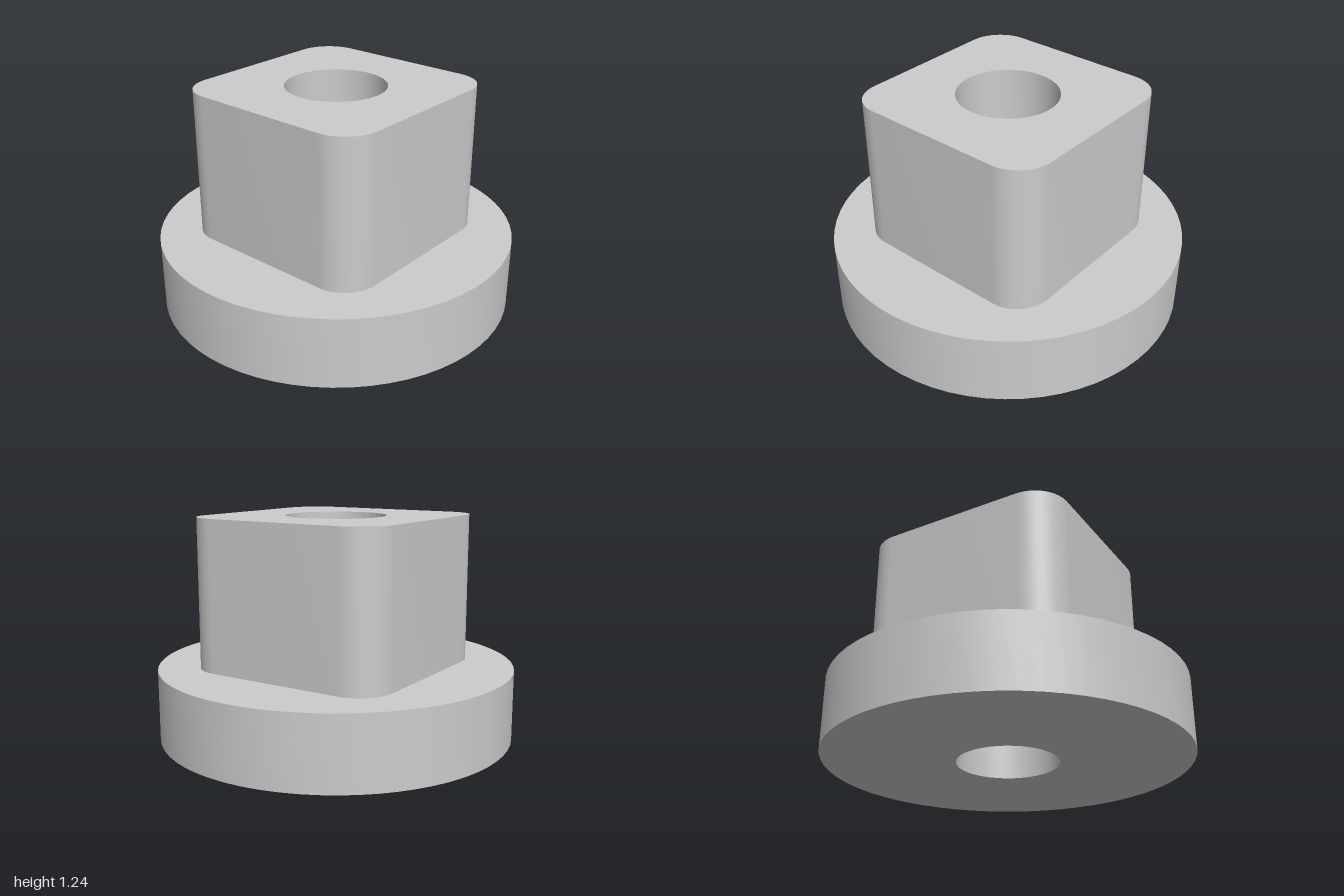
import * as THREE from 'three';
import { mergeGeometries, toCreasedNormals } from 'three/addons/utils/BufferGeometryUtils.js';

const FLANGE_R = 1, FLANGE_H = 0.4;
const BLOCK_HALF = 0.6, CORNER_R = 0.2, TOP = 1.235;
const BORE_R = 0.28;

// Square outline with round corners; a full circle when half equals radius
function outline(half, radius) {
  const steps = 16, c = half - radius, points = [];
  for (let q = 0; q < 4; q++) {
    const mid = (q + 0.5) * Math.PI / 2;
    const cx = c * Math.sign(Math.cos(mid)), cy = c * Math.sign(Math.sin(mid));
    const count = c > 0 ? steps + 1 : steps;
    for (let i = 0; i < count; i++) {
      const a = (q + i / steps) * Math.PI / 2;
      points.push(new THREE.Vector2(cx + radius * Math.cos(a), cy + radius * Math.sin(a)));
    }
  }
  return points;
}

function ring(outer, inner) {
  const shape = new THREE.Shape(outer);
  shape.holes.push(new THREE.Path(inner));
  return shape;
}

// Flat face at height y, facing up or down
function cap(shape, y, up) {
  return new THREE.ShapeGeometry(shape).toNonIndexed()
    .rotateX(up ? -Math.PI / 2 : Math.PI / 2).translate(0, y, 0);
}

// Outer and bore walls only, smooth around the curves
function walls(shape, y0, y1) {
  const solid = new THREE.ExtrudeGeometry(shape, { depth: y1 - y0, bevelEnabled: false });
  const { start, count } = solid.groups[1];
  const geometry = new THREE.BufferGeometry();
  for (const name of ['position', 'normal', 'uv']) {
    const { array, itemSize } = solid.attributes[name];
    const part = array.slice(start * itemSize, (start + count) * itemSize);
    geometry.setAttribute(name, new THREE.BufferAttribute(part, itemSize));
  }
  return toCreasedNormals(geometry.rotateX(-Math.PI / 2).translate(0, y0, 0), 0.5);
}

export function createModel() {
  const group = new THREE.Group();
  const material = new THREE.MeshStandardMaterial({ color: 0xcccccc });
  const add = (name, parts) => {
    const mesh = new THREE.Mesh(mergeGeometries(parts), material);
    mesh.name = name;
    group.add(mesh);
  };

  const disc = outline(FLANGE_R, FLANGE_R);
  const square = outline(BLOCK_HALF, CORNER_R);
  const bore = outline(BORE_R, BORE_R);
  const flangeShape = ring(disc, bore);
  const blockShape = ring(square, bore);

  // Round flange with a ledge around the block
  add('flange', [
    walls(flangeShape, 0, FLANGE_H),
    cap(flangeShape, 0, false),
    cap(ring(disc, square), FLANGE_H, true),
  ]);

  // Rounded square block, bored through
  add('squareBlock', [
    walls(blockShape, FLANGE_H, TOP),
    cap(blockShape, TOP, true),
  ]);

  return group;
}
